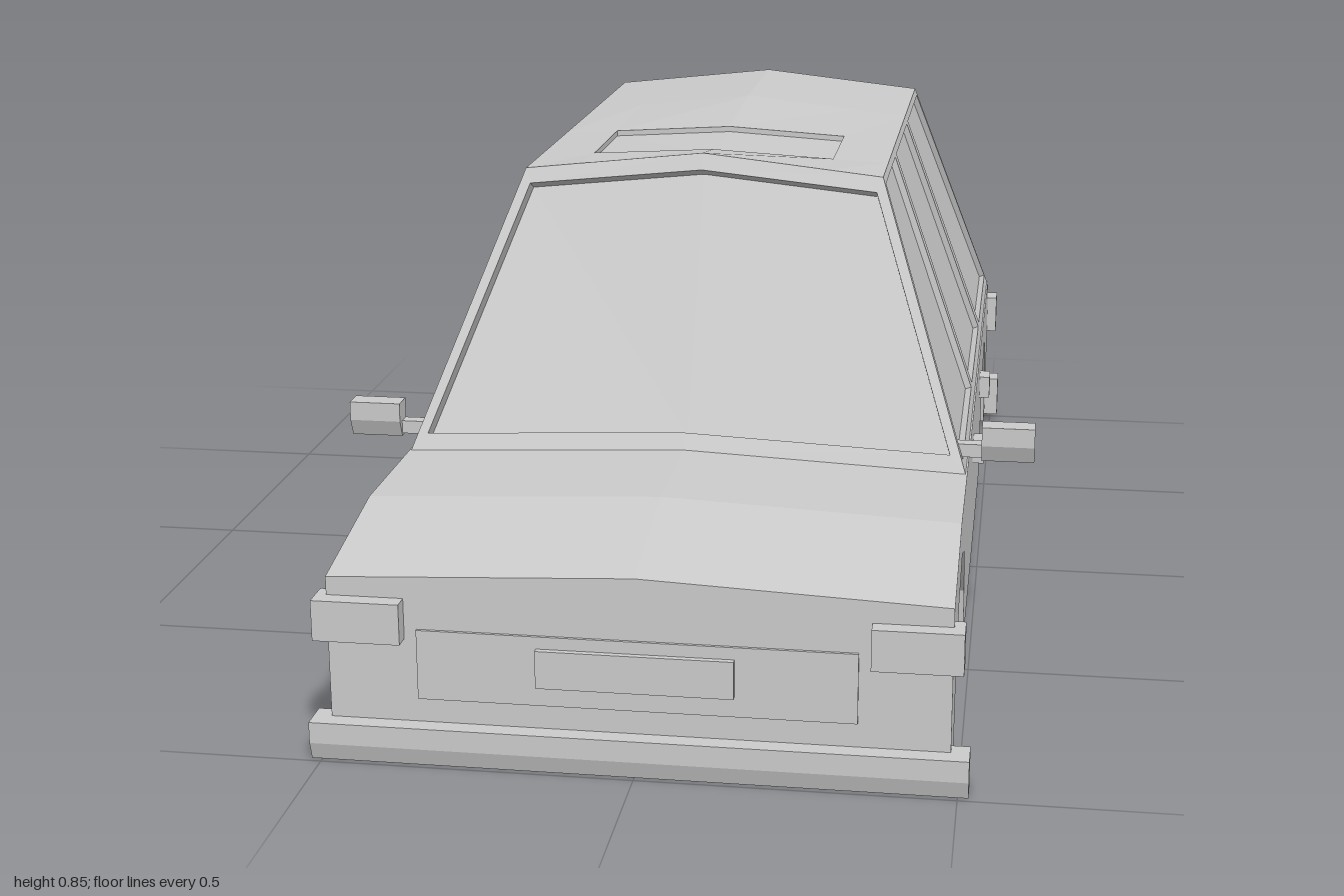
import * as THREE from 'three';

const material = new THREE.MeshStandardMaterial({ color: 0xcccccc, flatShading: true, side: THREE.DoubleSide });

export function createModel() {
  const car = new THREE.Group();
  car.name = 'car';

  const add = (name, geometry) => {
    const mesh = new THREE.Mesh(geometry, material);
    mesh.name = name;
    car.add(mesh);
    return mesh;
  };

  // Box given by its limits on each axis
  const box = (name, [x0, x1], [y0, y1], [z0, z1]) =>
    add(name, new THREE.BoxGeometry(x1 - x0, y1 - y0, z1 - z0))
      .position.set((x0 + x1) / 2, (y0 + y1) / 2, (z0 + z1) / 2);

  // Side profile of [z, y] points, extruded from x0 to x1
  const slab = (profile, x0, x1) => {
    const shape = new THREE.Shape(profile.map(([z, y]) => new THREE.Vector2(z, y)));
    return new THREE.ExtrudeGeometry(shape, { depth: x1 - x0, bevelEnabled: false })
      .rotateY(-Math.PI / 2).translate(x1, 0, 0);
  };

  // Raises the upper surfaces towards the centre line
  const crown = (geometry) => {
    const p = geometry.attributes.position;
    for (let i = 0; i < p.count; i++) {
      if (p.getY(i) > 0.29) p.setY(i, p.getY(i) + 0.022 * (1 - Math.abs(p.getX(i)) / 0.49));
    }
    geometry.computeVertexNormals();
    return geometry;
  };

  const surface = (points) => {
    const geometry = new THREE.BufferGeometry();
    geometry.setAttribute('position', new THREE.Float32BufferAttribute(points.flat(), 3));
    geometry.computeVertexNormals();
    return geometry;
  };

  // Bands between successive closed loops, the last one capped
  const loft = (loops) => {
    const out = [];
    const n = loops[0].length;
    for (let k = 0; k + 1 < loops.length; k++) {
      for (let i = 0; i < n; i++) {
        const j = (i + 1) % n, a = loops[k], b = loops[k + 1];
        out.push(a[i], a[j], b[j], a[i], b[j], b[i]);
      }
    }
    const last = loops[loops.length - 1];
    for (let i = 2; i < n; i++) out.push(last[1], last[i], last[(i + 1) % n]);
    return surface(out);
  };
  const shift = (loop, [x, y, z]) => loop.map((p) => [p[0] + x, p[1] + y, p[2] + z]);

  // Lower body: solid core and outer sides with wheel arches
  const upper = [[-0.975, 0.02], [-0.975, 0.303], [-0.918, 0.346], [0.473, 0.346],
    [0.72, 0.346], [0.97, 0.3], [0.97, 0.02]];
  const arch = (c) => [[0.203, 0.02], [0.185, 0.125], [0.11, 0.225], [0, 0.265],
    [-0.115, 0.225], [-0.19, 0.125], [-0.203, 0.02]].map(([z, y]) => [z + c, y]);
  const cutProfile = [...upper, ...arch(0.638), ...arch(-0.687)];
  const inner = 0.27, outer = 0.488;
  add('bodyCoreLeft', crown(slab(upper, 0, inner)));
  add('bodyCoreRight', crown(slab(upper, -inner, 0)));
  add('bodySideLeft', crown(slab(cutProfile, inner, outer)));
  add('bodySideRight', crown(slab(cutProfile, -outer, -inner)));

  // Windscreen and rear window: frame, reveal and recessed glass
  const bentLoop = (xb, yb, ybc, zb, xt, yt, ytc, zt) => [[-xb, yb, zb], [0, ybc, zb], [xb, yb, zb],
    [xt, yt, zt], [0, ytc, zt], [-xt, yt, zt]];
  const screen = (name, outerLoop, innerLoop, recess) =>
    add(name, loft([outerLoop, innerLoop, shift(innerLoop, recess)]));
  screen('windscreen',
    bentLoop(0.485, 0.346, 0.368, 0.473, 0.32, 0.81, 0.845, 0.24),
    bentLoop(0.457, 0.375, 0.395, 0.459, 0.31, 0.785, 0.817, 0.253),
    [0, -0.013, -0.027]);
  const flip = (loop) => loop.map(([x, y, z]) => [-x, y, z]);
  screen('rearWindow',
    flip(bentLoop(0.485, 0.346, 0.368, -0.918, 0.32, 0.81, 0.845, -0.76)),
    flip(bentLoop(0.457, 0.375, 0.395, -0.908, 0.31, 0.785, 0.817, -0.769)),
    [0, -0.007, 0.02]);

  // Three side windows on each side, with their pillars
  const sideX = (y) => 0.485 - (0.165 * (y - 0.346)) / 0.464;
  const sideLoop = (y0, y1, [f0, r0, r1, f1]) => [[sideX(y0), y0, f0], [sideX(y0), y0, r0],
    [sideX(y1), y1, r1], [sideX(y1), y1, f1]];
  const windows = [
    [[0.473, -0.015, -0.04, 0.24], [0.445, 0.002, -0.024, 0.228]],
    [[-0.015, -0.465, -0.402, -0.04], [-0.03, -0.447, -0.385, -0.056]],
    [[-0.465, -0.918, -0.76, -0.402], [-0.485, -0.906, -0.746, -0.42]],
  ];
  for (const [frame, glass] of windows) {
    const a = sideLoop(0.346, 0.81, frame);
    const b = sideLoop(0.363, 0.797, glass);
    const c = shift(b, [-0.011, -0.004, 0]);
    add('sideWindowLeft', loft([a, b, c]));
    add('sideWindowRight', loft([a, b, c].map((l) => flip(l).reverse())));
  }

  // Roof with a ridge, leaving an opening for the sunroof
  const xs = [-0.32, -0.22, 0, 0.22, 0.32];
  const rows = [[0.24, 0.845], [0.11, 0.828], [-0.12, 0.83], [-0.4, 0.845], [-0.76, 0.845]];
  const roofPoint = (i, r) => [xs[i], 0.81 + (rows[r][1] - 0.81) * (1 - Math.abs(xs[i]) / 0.32), rows[r][0]];
  const roof = [];
  for (let r = 0; r < 4; r++) {
    for (let i = 0; i < 4; i++) {
      if (r === 1 && (i === 1 || i === 2)) continue;
      const a = roofPoint(i, r), b = roofPoint(i + 1, r), c = roofPoint(i + 1, r + 1), d = roofPoint(i, r + 1);
      roof.push(a, b, c, a, c, d);
    }
  }
  add('roof', surface(roof));
  const opening = [[1, 1], [2, 1], [3, 1], [3, 2], [2, 2], [1, 2]].map(([i, r]) => roofPoint(i, r));
  add('sunroof', loft([opening, shift(opening, [0, -0.01, 0])]));

  // Bumpers, grille and plates
  add('frontBumper', slab([[0.945, 0], [0.99, 0], [1, 0.03], [1, 0.065], [0.945, 0.065]], -0.517, 0.517));
  box('rearBumper', [-0.517, 0.517], [0.02, 0.105], [-1, -0.95]);
  box('grille', [-0.345, 0.345], [0.105, 0.22], [0.95, 0.975]);
  box('frontPlate', [-0.155, 0.155], [0.138, 0.2], [0.95, 0.985]);
  box('rearPlate', [-0.155, 0.155], [0.128, 0.19], [-0.995, -0.95]);

  // Lamps, door handles and mirrors on both sides
  const mirrorProfile = [[0.41, 0.36], [0.437, 0.36], [0.45, 0.39], [0.45, 0.423], [0.41, 0.423]];
  for (const [s, side] of [[1, 'Left'], [-1, 'Right']]) {
    const span = (a, b) => (s > 0 ? [a, b] : [-b, -a]);
    box('headlamp' + side, span(0.365, 0.505), [0.203, 0.27], [0.945, 0.998]);
    box('rearLamp' + side, span(0.365, 0.508), [0.222, 0.3], [-0.997, -0.945]);
    for (const z of [0.085, -0.345]) {
      box('doorHandle' + side, span(0.48, 0.508), [0.247, 0.29], [z - 0.024, z + 0.024]);
    }
    add('mirror' + side, slab(mirrorProfile, ...span(0.51, 0.6)));
    box('mirrorArm' + side, span(0.465, 0.51), [0.365, 0.388], [0.412, 0.436]);
  }
  return car;
}
